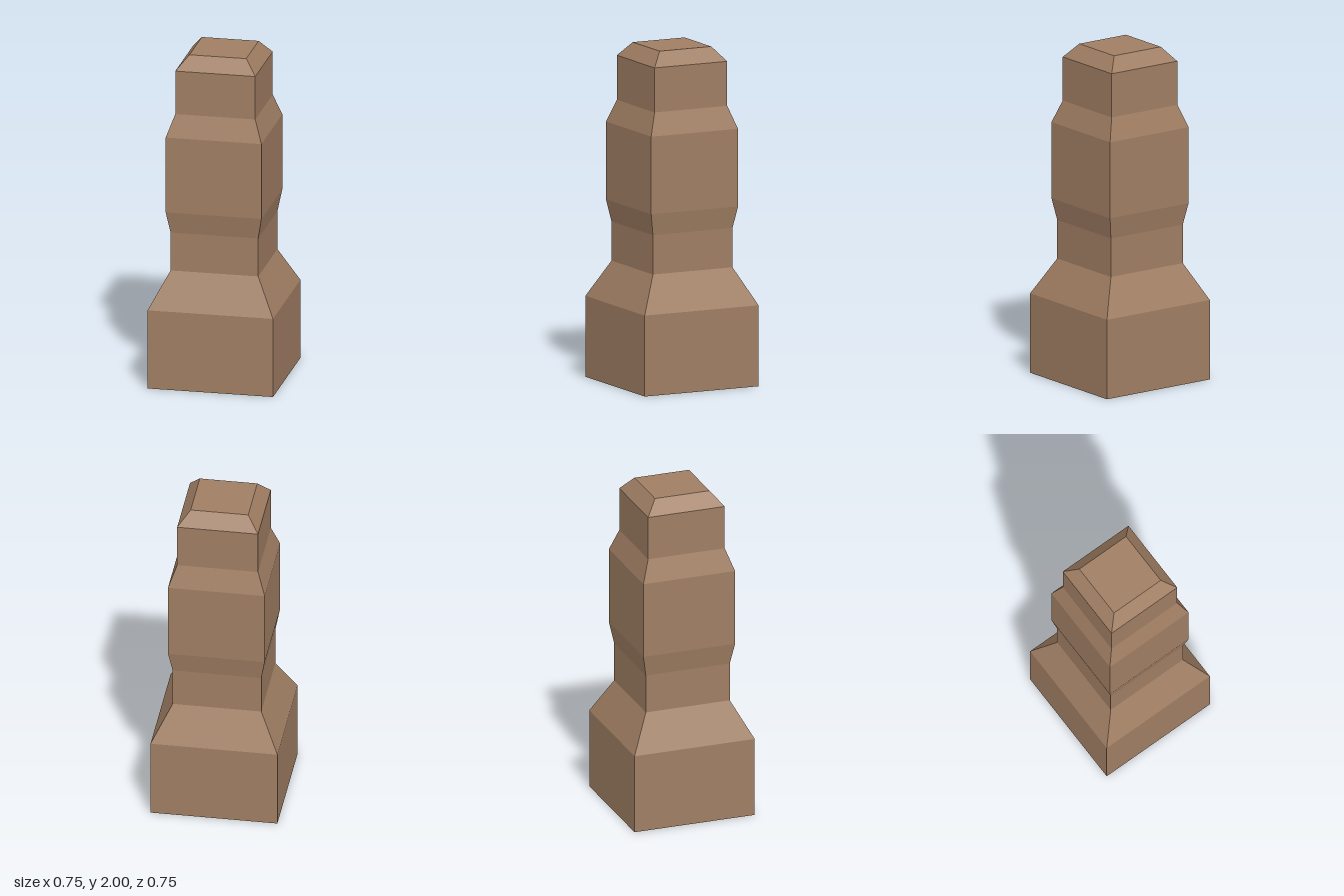
import * as THREE from 'three';

export function createModel() {
  const group = new THREE.Group();
  group.name = 'squarePillar';
  const brown = new THREE.MeshStandardMaterial({
    color: 0xa07e63, flatShading: true, side: THREE.DoubleSide,
  });
  brown.name = 'brown';

  // Square shell from a profile of [half width, height] points
  function addPart(name, profile) {
    const points = profile.map(([w, y]) => new THREE.Vector2(w * Math.SQRT2, y));
    const lathe = new THREE.LatheGeometry(points, 4, Math.PI / 4);
    const geometry = lathe.toNonIndexed();
    geometry.computeVertexNormals();
    const mesh = new THREE.Mesh(geometry, brown);
    mesh.name = name;
    group.add(mesh);
  }

  // Hollow shell, open underneath
  addPart('base', [[0.375, 0], [0.375, 0.48], [0.262, 0.697]]);
  addPart('neck', [[0.262, 0.697], [0.262, 0.93], [0.286, 1.06]]);
  addPart('shaft', [[0.286, 1.06], [0.286, 1.52], [0.239, 1.653]]);
  addPart('head', [[0.239, 1.653], [0.239, 1.917], [0.17, 2]]);

  // Flat top
  const cap = new THREE.Mesh(new THREE.PlaneGeometry(0.34, 0.34).rotateX(-Math.PI / 2), brown);
  cap.name = 'cap';
  cap.position.y = 2;
  group.add(cap);

  return group;
}
